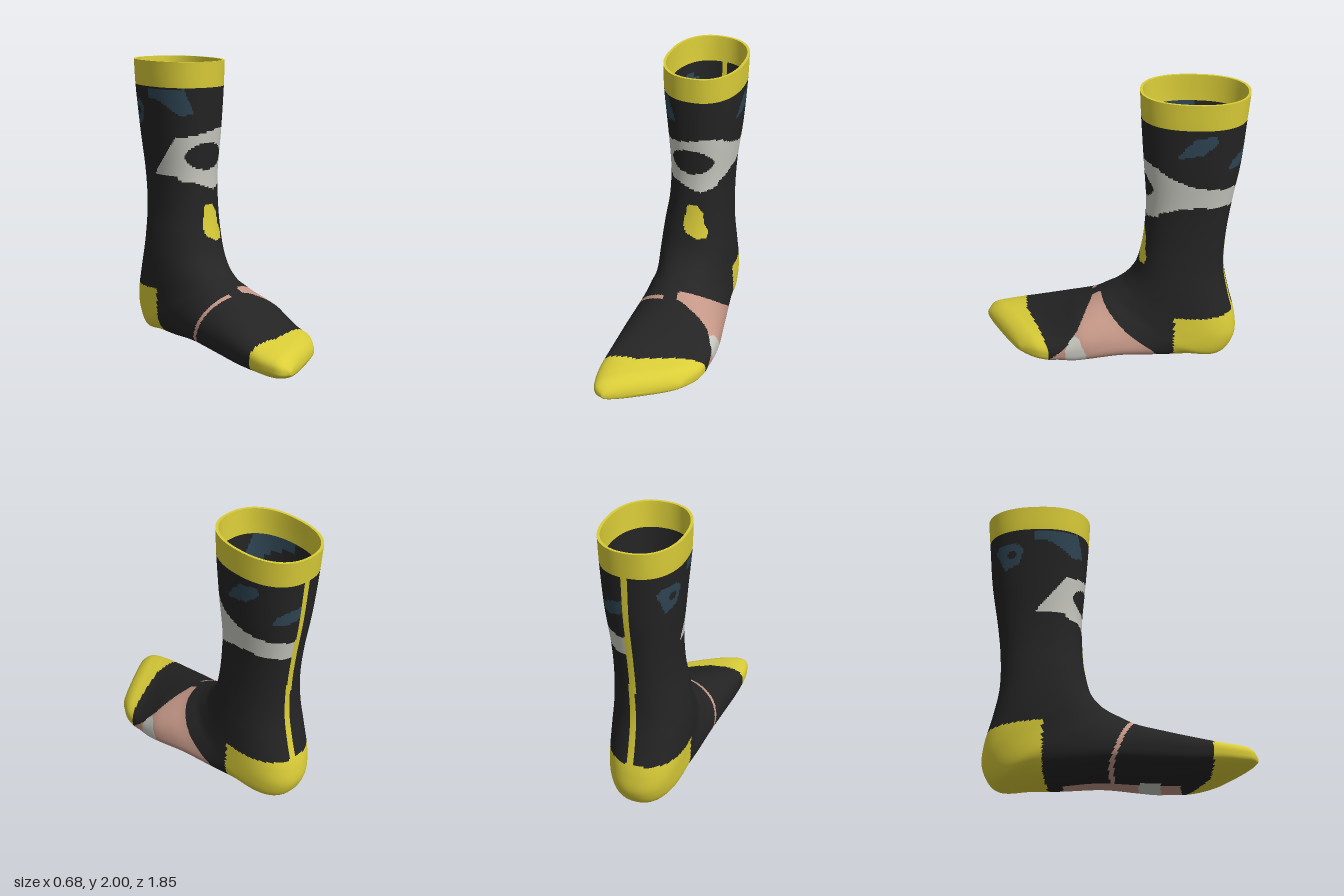
import * as THREE from 'three';

// Cross-sections run from the cuff, round the heel, to the toe tip.
// front / instep edge: z, y, sideways slant of the section
const FRONT = [
  [-0.19, 2, 0], [-0.2, 1.8, 0], [-0.22, 1.5, 0], [-0.24, 1.2, 0], [-0.23, 0.97, 0], [-0.205, 0.79, 0], [-0.165, 0.65, 0],
  [-0.1, 0.56, 0], [-0.04, 0.515, 0], [0, 0.492, 0], [0.05, 0.465, 0], [0.1, 0.44, 0], [0.17, 0.405, 0.05], [0.27, 0.36, 0.2],
  [0.39, 0.3, 0.4], [0.52, 0.24, 0.55], [0.62, 0.215, 0.65], [0.7, 0.197, 0.65], [0.76, 0.165, 0.65], [0.79, 0.125, 0.65], [0.8, 0.085, 0.65],
];
// back / sole edge: z, y, where the widest point lies between back and front
const BACK = [
  [-0.918, 2, 0.5], [-0.9, 1.8, 0.5], [-0.873, 1.5, 0.5], [-0.825, 1.2, 0.5], [-0.795, 0.95, 0.5], [-0.79, 0.7, 0.5], [-0.83, 0.48, 0.5],
  [-0.882, 0.28, 0.5], [-0.885, 0.13, 0.5], [-0.8, 0.005, 0.5], [-0.62, 0.008, 0.5], [-0.4, 0.02, 0.45], [-0.12, 0.045, 0.4], [0.15, 0.03, 0.4],
  [0.36, 0.02, 0.4], [0.52, 0.02, 0.45], [0.62, 0.02, 0.45], [0.7, 0.028, 0.45], [0.76, 0.04, 0.45], [0.79, 0.06, 0.45], [0.8, 0.085, 0.45],
];
// widths: min x, max x, roundness exponent
const WIDTH = [
  [-0.31, 0.24, 2.3], [-0.305, 0.235, 2.3], [-0.278, 0.215, 2.3], [-0.255, 0.185, 2.3], [-0.26, 0.18, 2.3], [-0.29, 0.19, 2.3], [-0.31, 0.205, 2.3],
  [-0.315, 0.215, 2.3], [-0.31, 0.222, 2.3], [-0.31, 0.23, 2.3], [-0.313, 0.245, 2.3], [-0.318, 0.27, 2.2], [-0.325, 0.305, 2.2], [-0.335, 0.335, 2.3],
  [-0.342, 0.34, 2.5], [-0.343, 0.335, 2.7], [-0.325, 0.33, 2.8], [-0.3, 0.31, 2.8], [-0.25, 0.255, 2.6], [-0.2, 0.2, 2.4], [0, 0, 2.3],
];
const curve = (rows) => new THREE.CatmullRomCurve3(rows.map((r) => new THREE.Vector3(...r)), false, 'catmullrom', 0.5);
const front = curve(FRONT), back = curve(BACK), width = curve(WIDTH);

// Point on the knit at t (cuff to toe) and angle a, moved inwards by inset
function surfacePoint(t, a, inset) {
  const f = front.getPoint(t), b = back.getPoint(t), w = width.getPoint(t);
  const cz = b.x + (f.x - b.x) * b.z, cy = b.y + (f.y - b.y) * b.z;
  const s = Math.sin(a), c = Math.cos(a);
  const end = s >= 0 ? f : b;
  const n = s >= 0 ? w.z : w.z + (0.5 - b.z) * 6; // flatter under the foot
  const dz = end.x - cz, dy = end.y - cy, len = Math.hypot(dz, dy);
  const k = len > 1e-6 ? Math.max(0, 1 - inset / len) * Math.pow(Math.abs(s), 2 / n) : 0;
  const half = Math.max(0, (w.y - w.x) / 2 - inset);
  const x = (w.x + w.y) / 2 + half * Math.sign(c) * Math.pow(Math.abs(c), 2 / n);
  return new THREE.Vector3(x, cy + dy * k, cz + dz * k - f.z * x);
}

// Ring positions evenly spaced along the sock
function ringParams(count, tEnd) {
  const sum = [0], steps = 400;
  for (let i = 1; i <= steps; i++) {
    const t0 = ((i - 1) / steps) * tEnd, t1 = (i / steps) * tEnd;
    const d = (c) => { const p = c.getPoint(t0), q = c.getPoint(t1); return Math.hypot(p.x - q.x, p.y - q.y); };
    sum.push(sum[i - 1] + Math.max(d(front), d(back)) + 0.0003);
  }
  const out = [];
  for (let r = 0, i = 0; r <= count; r++) {
    const goal = (sum[steps] * r) / count;
    while (i < steps - 1 && sum[i + 1] < goal) i++;
    out.push(Math.min(1, (i + (goal - sum[i]) / (sum[i + 1] - sum[i])) / steps) * tEnd);
  }
  return out;
}

function inside(poly, u, v) {
  let hit = false;
  for (let i = 0, j = poly.length - 1; i < poly.length; j = i++) {
    const [ui, vi] = poly[i], [uj, vj] = poly[j];
    if ((vi > v) !== (vj > v) && u < ((uj - ui) * (v - vi)) / (vj - vi) + ui) hit = !hit;
  }
  return hit;
}

// Pattern outlines: front ones in (x, y), side ones in (z, y)
const bandFront = [[-0.4, 1.46], [-0.2, 1.475], [0.09, 1.535], [0.17, 1.51], [0.3, 1.4], [0.3, 1.2], [0.19, 1.19], [0.125, 1.13], [0.035, 1.1], [-0.12, 1.155], [-0.4, 1.2]];
const bandLeft = [[-0.15, 1.53], [-0.26, 1.535], [-0.42, 1.455], [-0.58, 1.395], [-0.95, 1.34], [-0.95, 1.205], [-0.6, 1.24], [-0.47, 1.22], [-0.34, 1.17], [-0.285, 1.12], [-0.15, 1.11]];
const bandRight = [[-0.2, 1.47], [-0.33, 1.465], [-0.54, 1.2], [-0.2, 1.19]];
const shinShape = [[-0.05, 0.99], [0.02, 0.995], [0.06, 0.93], [0.07, 0.85], [0.1, 0.79], [0.09, 0.74], [0.03, 0.735], [-0.05, 0.77], [-0.08, 0.83], [-0.07, 0.88], [-0.06, 0.95]];
const flecksLeft = [
  [[-0.45, 1.63], [-0.575, 1.765], [-0.7, 1.78], [-0.72, 1.735], [-0.63, 1.65], [-0.47, 1.615]],
  [[-0.785, 1.52], [-0.81, 1.58], [-0.89, 1.64], [-0.89, 1.55], [-0.84, 1.51]],
];
const fleckRight = [[-0.62, 1.68], [-0.66, 1.56], [-0.76, 1.53], [-0.83, 1.69], [-0.8, 1.73], [-0.68, 1.72]];
const fleckFront = [[-0.33, 1.81], [-0.205, 1.815], [-0.14, 1.64], [-0.22, 1.63], [-0.25, 1.66], [-0.33, 1.79]];
const sidePatch = [[0.05, 0.44], [0.09, 0.47], [0.16, 0.39], [0.22, 0.28], [0.3, 0.17], [0.42, 0.06], [0.43, -0.1], [-0.36, -0.1], [-0.36, 0.05], [-0.3, 0.14], [-0.1, 0.3]];
const sideStripe = [[0.235, 0.255], [0.2, 0.24], [0.15, 0.13], [0.125, -0.1], [0.28, -0.1], [0.3, 0.15], [0.27, 0.22]];

// Which part of the pattern a point belongs to
function partAt({ x, y, z }) {
  if (y > 1.82) return 'cuff';
  if (z < -0.46 && y < 0.36 + (z + 0.86) * 0.065) return 'heel';
  if (y < 0.4 && z > (x < -0.1 ? 0.62 - (x + 0.1) * 0.12 : 0.62 - (x + 0.1) * 0.465)) return 'toe';
  if (z < -0.7 && y > 0.3 && x > -0.042 && x < 0.002) return 'backSeam';
  if (z > -0.5 && Math.hypot((x + 0.03) / 0.15, (y - 1.34) / 0.095) < 1) return 'body';
  if (z > -0.33 && inside(bandFront, x, y)) return 'legBand';
  if (x > 0 && z < -0.27 && inside(bandLeft, z, y)) return 'legBand';
  if (x < -0.15 && inside(bandRight, z, y)) return 'legBand';
  if (z > -0.5 && inside(shinShape, x, y)) return 'shinPatch';
  if (z > -0.55 && inside(fleckFront, x, y)) return 'flecks';
  if (x > 0 && flecksLeft.some((p) => inside(p, z, y))) return 'flecks';
  if (x < -0.1 && inside(fleckRight, z, y) && Math.hypot(z + 0.71, y - 1.64) > 0.03) return 'flecks';
  if (x > 0 && inside(sideStripe, z, y)) return 'footStripe';
  if (x > 0 && inside(sidePatch, z, y)) return 'footPatch';
  if (y < 0.43 && (x < -0.1 || (x < 0 && y < 0.1)) && Math.abs(z - 0.04 - (y - 0.2) * 0.4) < 0.017) return 'footLine';
  return 'body';
}

const material = (name, color) => Object.assign(new THREE.MeshStandardMaterial({ color }), { name });

export function createModel() {
  const black = material('black knit', 0x242424), yellow = material('yellow knit', 0xdacd38);
  const white = material('pale grey knit', 0xc8c8c0), pink = material('pink knit', 0xc49787), blue = material('dark blue knit', 0x2f4655);
  const colours = {
    body: black, cuff: yellow, heel: yellow, toe: yellow, backSeam: yellow, shinPatch: yellow,
    legBand: white, footStripe: white, footPatch: pink, footLine: pink, flecks: blue,
  };
  const sock = new THREE.Group();
  sock.name = 'sock';

  // One wall of the sock, split into a mesh for each part of the pattern
  function addWall(name, rings, sides, inset, tEnd) {
    const ts = ringParams(rings, tEnd), pos = [], faces = {};
    const outer = [];
    for (const t of ts) {
      for (let j = 0; j < sides; j++) {
        const a = (j / sides) * Math.PI * 2;
        pos.push(...surfacePoint(t, a, inset).toArray());
        outer.push(surfacePoint(t, a, 0));
      }
    }
    const all = [], mid = new THREE.Vector3();
    for (let i = 0; i < rings; i++) {
      for (let j = 0; j < sides; j++) {
        const a = i * sides + j, b = i * sides + ((j + 1) % sides), c = a + sides, d = b + sides;
        const quad = inset > 0 ? [a, c, b, b, c, d] : [a, b, c, b, d, c];
        mid.copy(outer[a]).add(outer[b]).add(outer[c]).add(outer[d]).multiplyScalar(0.25);
        (faces[partAt(mid)] ??= []).push(...quad);
        all.push(...quad);
      }
    }
    const whole = new THREE.BufferGeometry();
    whole.setAttribute('position', new THREE.Float32BufferAttribute(pos, 3));
    whole.setIndex(all);
    whole.computeVertexNormals();
    const wall = new THREE.Group();
    wall.name = name;
    for (const part of Object.keys(faces)) {
      whole.setIndex(faces[part]);
      const mesh = new THREE.Mesh(whole.toNonIndexed(), colours[part]);
      mesh.name = part;
      wall.add(mesh);
    }
    sock.add(wall);
  }
  addWall('outerWall', 270, 170, 0, 1);
  addWall('lining', 100, 120, 0.018, 0.95);

  // Flat rim joining the two walls at the opening
  const rimPos = [], rimIndex = [], n = 120;
  for (let j = 0; j < n; j++) {
    const a = (j / n) * Math.PI * 2, k = ((j + 1) % n) * 2;
    rimPos.push(...surfacePoint(0, a, 0).toArray(), ...surfacePoint(0, a, 0.018).toArray());
    rimIndex.push(j * 2, j * 2 + 1, k, k, j * 2 + 1, k + 1);
  }
  const rim = new THREE.BufferGeometry();
  rim.setAttribute('position', new THREE.Float32BufferAttribute(rimPos, 3));
  rim.setIndex(rimIndex);
  rim.computeVertexNormals();
  const rimMesh = new THREE.Mesh(rim, yellow);
  rimMesh.name = 'cuffRim';
  sock.add(rimMesh);
  return sock;
}
